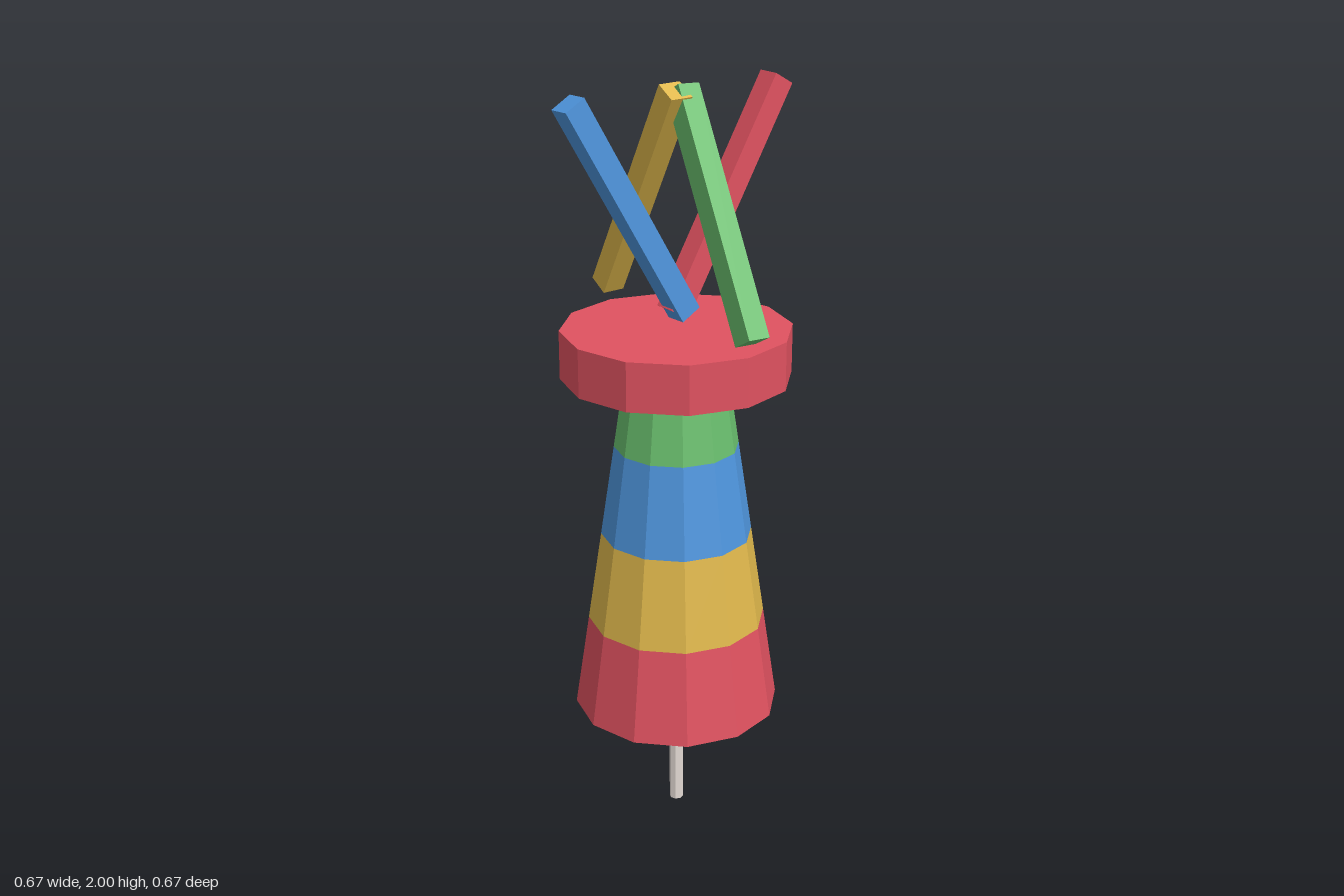
import * as THREE from 'three';

function material(name, color) {
  const m = new THREE.MeshStandardMaterial({ color, flatShading: true });
  m.name = name;
  return m;
}

export function createModel() {
  const group = new THREE.Group();
  const red = material('red', 0xe05260);
  const yellow = material('yellow', 0xe0b84c);
  const blue = material('blue', 0x4f96de);
  const green = material('green', 0x6abf6e);
  const grey = material('pale grey', 0xe6dcd6);

  // Upright frustum between two heights
  function frustum(name, y0, y1, r0, r1, sides, mat) {
    const mesh = new THREE.Mesh(new THREE.CylinderGeometry(r1, r0, y1 - y0, sides), mat);
    mesh.name = name;
    mesh.position.y = (y0 + y1) / 2;
    group.add(mesh);
  }

  // Square bar between two points; its side faces stay square to the given axis
  function bar(name, from, to, axis, mat) {
    const a = new THREE.Vector3(...from), b = new THREE.Vector3(...to);
    const dir = b.clone().sub(a);
    const length = dir.length();
    dir.normalize();
    const side = new THREE.Vector3().crossVectors(dir, new THREE.Vector3(...axis)).normalize();
    const depth = new THREE.Vector3().crossVectors(side, dir);
    const mesh = new THREE.Mesh(new THREE.BoxGeometry(0.062, length, 0.06), mat);
    mesh.name = name;
    mesh.quaternion.setFromRotationMatrix(new THREE.Matrix4().makeBasis(side, dir, depth));
    mesh.position.copy(a).add(b).multiplyScalar(0.5);
    group.add(mesh);
  }

  // Thin stem
  frustum('stem', 0, 0.34, 0.019, 0.019, 8, grey);

  // Tapered body in four coloured bands
  const heights = [0.325, 0.58, 0.825, 1.07, 1.27];
  const radius = (y) => 0.275 - (y - 0.325) * 0.15;
  [red, yellow, blue, green].forEach((mat, i) => {
    const y0 = heights[i], y1 = heights[i + 1];
    frustum(`${mat.name}Band`, y0, y1, radius(y0), radius(y1), 12, mat);
  });

  // Wide cap
  frustum('cap', 1.26, 1.388, 0.298, 0.298, 12, red);

  // Crossed bars above the cap
  bar('redBar', [-0.011, 1.43, 0], [0.309, 1.985, 0], [1, 0, 0], red);
  bar('blueBar', [0.011, 1.43, 0.018], [-0.309, 1.985, -0.001], [1, 0, 0], blue);
  bar('greenBar', [0, 1.43, 0.309], [0.025, 1.985, -0.011], [0, 0, 1], green);
  bar('yellowBar', [0, 1.43, -0.309], [-0.01, 1.985, 0.011], [0, 0, 1], yellow);

  return group;
}
